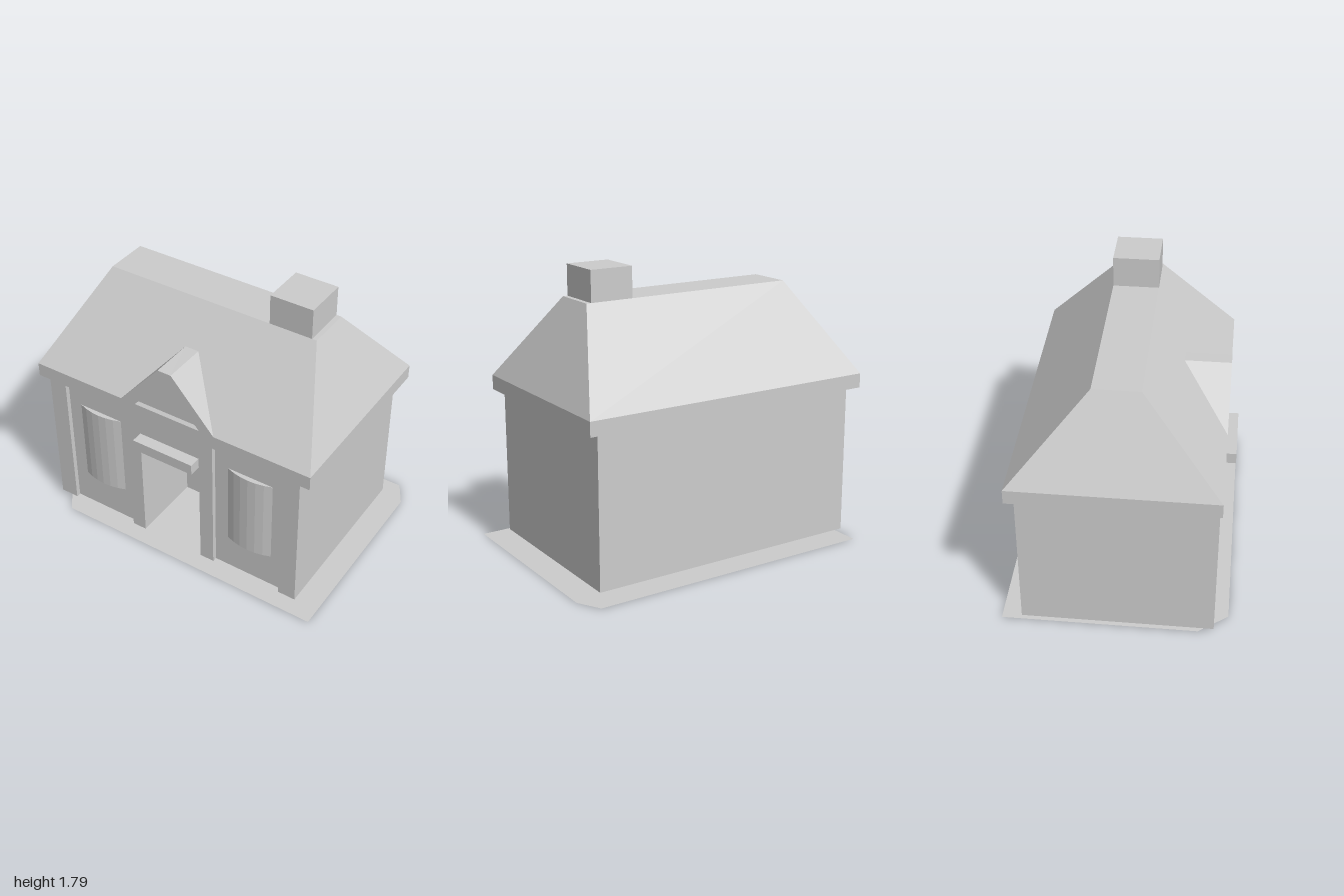
import * as THREE from 'three';

export function createModel() {
  const house = new THREE.Group();
  house.name = 'house';
  const plaster = new THREE.MeshStandardMaterial({ color: 0xcccccc });
  plaster.name = 'pale grey';
  const ground = new THREE.MeshStandardMaterial({ color: 0xcccccc, side: THREE.DoubleSide });
  ground.name = 'pale grey ground';

  const add = (name, geometry, material = plaster) => {
    const mesh = new THREE.Mesh(geometry, material);
    mesh.name = name;
    house.add(mesh);
    return mesh;
  };
  // Box given by its limits on each axis
  const box = (name, x0, x1, y0, y1, z0, z1) => {
    const g = new THREE.BoxGeometry(x1 - x0, y1 - y0, z1 - z0);
    g.translate((x0 + x1) / 2, (y0 + y1) / 2, (z0 + z1) / 2);
    return add(name, g);
  };
  const outline = (points) => new THREE.Shape(points.map(([x, y]) => new THREE.Vector2(x, y)));
  // Front outline pushed through from z0 to z1
  const slab = (name, points, z0, z1) => {
    const g = new THREE.ExtrudeGeometry(outline(points), { depth: z1 - z0, bevelEnabled: false });
    g.translate(0, 0, z0);
    return add(name, g);
  };

  // Flat ground sheet with two cut corners
  const sheet = new THREE.ShapeGeometry(outline([
    [-0.79, -0.68], [1, -0.68], [1, 0.55], [0.92, 0.69], [-0.93, 0.69], [-0.93, -0.5],
  ]));
  sheet.rotateX(-Math.PI / 2);
  add('groundSheet', sheet, ground);

  // Walls: rear block and the two front wings beside the door
  box('rearWalls', -0.93, 0.855, 0.03, 0.97, -0.565, 0.125);
  box('rightFrontWall', -0.93, -0.345, 0.03, 0.97, 0.125, 0.565);
  box('leftFrontWall', 0.27, 0.855, 0.03, 0.97, 0.125, 0.565);

  // Corner pilasters
  box('rightPilaster', -0.93, -0.81, 0.03, 0.97, 0.565, 0.595);
  box('leftPilaster', 0.74, 0.855, 0.03, 0.97, 0.565, 0.595);

  // Gabled entrance with an open doorway
  slab('entrance', [
    [-0.345, 0.03], [-0.25, 0.03], [-0.25, 0.77], [0.175, 0.77], [0.175, 0.03], [0.27, 0.03],
    [0.27, 0.97], [0.01, 1.265], [-0.08, 1.265], [-0.345, 0.97],
  ], 0.125, 0.595);
  box('doorCanopy', -0.247, 0.173, 0.76, 0.83, 0.565, 0.67);

  // Shallow bowed windows
  const half = 0.1525, sag = 0.03;
  const radius = (half * half + sag * sag) / (2 * sag);
  const angle = Math.asin(half / radius);
  for (const [name, x] of [['rightBowWindow', -0.57], ['leftBowWindow', 0.512]]) {
    const bow = new THREE.CylinderGeometry(radius, radius, 0.56, 6, 1, false, -angle, 2 * angle).toNonIndexed();
    bow.computeVertexNormals();
    bow.translate(x, 0.545, 0.595 - radius);
    add(name, bow);
  }

  // Eaves, open below the front gable
  box('rightEave', -1, -0.345, 0.97, 1.06, -0.61, 0.61);
  box('leftEave', 0.27, 0.925, 0.97, 1.06, -0.61, 0.61);
  box('backFascia', -0.345, 0.27, 0.97, 1.06, -0.61, -0.6);

  // Hipped roof: a box with its top drawn in
  const hip = new THREE.BoxGeometry(1.925, 0.54, 1.22).toNonIndexed();
  const p = hip.attributes.position;
  for (let i = 0; i < p.count; i++) {
    if (p.getY(i) > 0) p.setXYZ(i, Math.sign(p.getX(i)) * 0.7075, 0.27, Math.sign(p.getZ(i)) * 0.14);
  }
  hip.translate(-0.0375, 1.33, 0);
  hip.computeVertexNormals();
  add('hippedRoof', hip);

  // Gable roof over the entrance
  slab('gableRoof', [
    [-0.345, 0.97], [-0.08, 1.265], [0.01, 1.265], [0.27, 0.97],
    [0.29, 1.06], [0.005, 1.38], [-0.085, 1.38], [-0.365, 1.06],
  ], 0.33, 0.61);

  box('chimney', 0.365, 0.64, 1.59, 1.79, -0.14, 0.14);
  return house;
}
